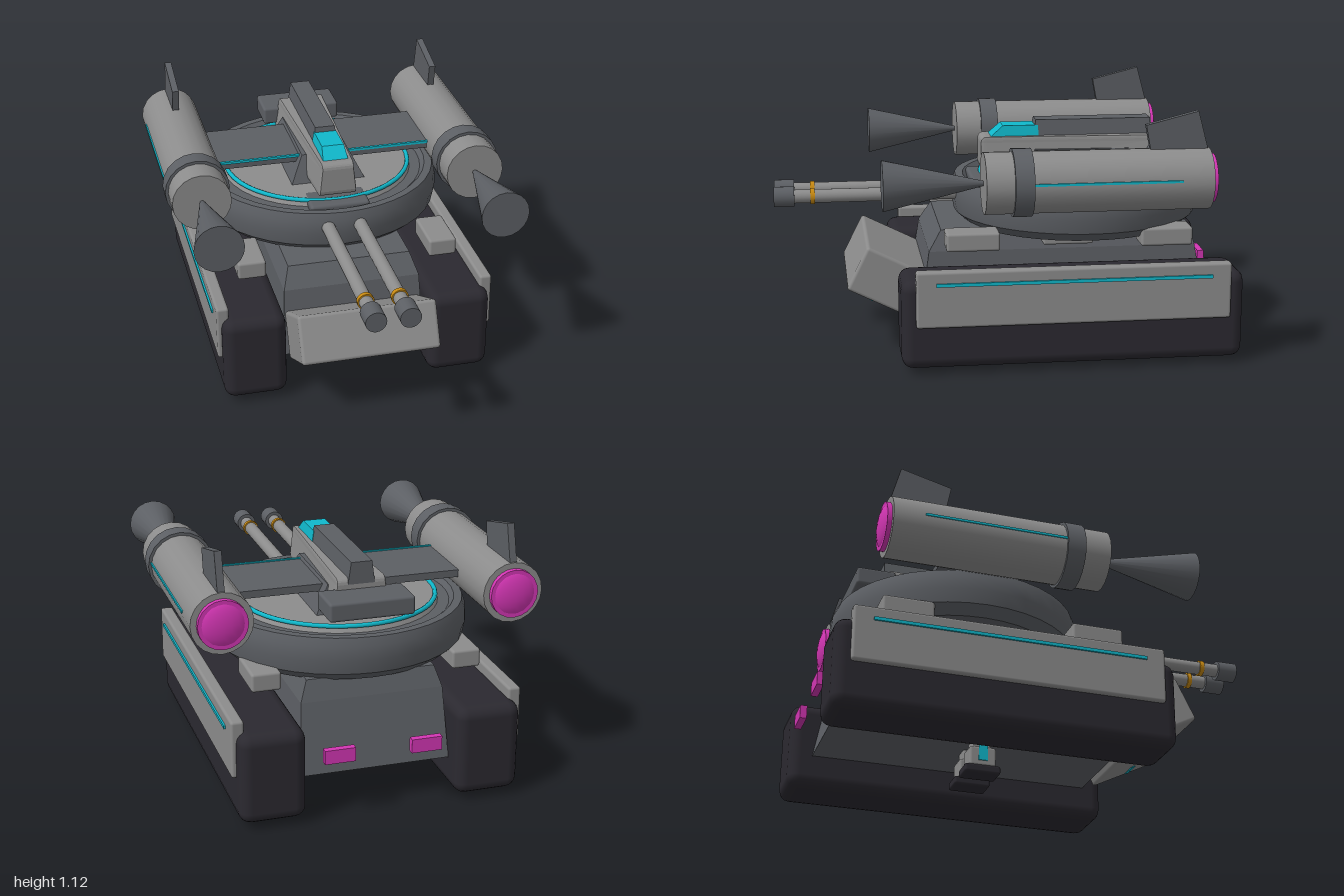
import * as THREE from 'three';
import { toCreasedNormals } from 'three/addons/utils/BufferGeometryUtils.js';
import { RoundedBoxGeometry } from 'three/addons/geometries/RoundedBoxGeometry.js';

const paint = (name, color) => {
  const m = new THREE.MeshStandardMaterial({ color });
  m.name = name;
  return m;
};

export function createModel() {
  const light = paint('light grey', 0x8c8c8c);
  const dark = paint('dark grey', 0x5c5f64);
  const rubber = paint('track black', 0x2b2930);
  const cyan = paint('cyan', 0x10b8cb);
  const magenta = paint('magenta', 0xd436b4);
  const amber = paint('amber', 0xc88a12);

  const root = new THREE.Group();
  root.name = 'hoverTank';

  const add = (name, geo, mat, x = 0, y = 0, z = 0, parent = root) => {
    const m = new THREE.Mesh(geo, mat);
    m.name = name;
    m.position.set(x, y, z);
    parent.add(m);
    return m;
  };
  // Box given by its limits; r rounds the edges
  const box = (name, mat, x0, x1, y0, y1, z0, z1, r = 0, parent = root) => {
    const s = [Math.abs(x1 - x0), y1 - y0, z1 - z0];
    const g = r ? new RoundedBoxGeometry(...s, 2, r) : new THREE.BoxGeometry(...s);
    return add(name, g, mat, (x0 + x1) / 2, (y0 + y1) / 2, (z0 + z1) / 2, parent);
  };
  // Block whose top and bottom are [halfWidth, zBack, zFront] rectangles
  const taper = (name, mat, y0, y1, bottom, top) => {
    const g = new THREE.BoxGeometry(1, 1, 1);
    const p = g.attributes.position;
    for (let i = 0; i < p.count; i++) {
      const [w, zb, zf] = p.getY(i) > 0 ? top : bottom;
      p.setXYZ(i, Math.sign(p.getX(i)) * w, p.getY(i) > 0 ? y1 : y0, p.getZ(i) > 0 ? zf : zb);
    }
    g.computeVertexNormals();
    return add(name, g, mat);
  };
  // Cylinder lying along z from z0 to z1
  const rod = (name, mat, x, y, z0, z1, r0, r1 = r0, sides = 20) => {
    const g = new THREE.CylinderGeometry(r1, r0, z1 - z0, sides).rotateX(Math.PI / 2);
    return add(name, g, mat, x, y, (z0 + z1) / 2);
  };

  // Hull
  taper('hullLower', dark, 0.17, 0.47, [0.32, -0.9, 0.38], [0.305, -0.845, 0.335]);
  taper('hullUpper', dark, 0.47, 0.56, [0.305, -0.845, 0.335], [0.275, -0.82, 0.28]);

  // Tilted bow plate with strips on its underside
  const bow = new THREE.Group();
  bow.name = 'bowPlate';
  bow.position.set(0, 0.338, 0.514);
  bow.rotation.x = -0.464;
  root.add(bow);
  box('bowBlock', light, -0.305, 0.305, -0.106, 0.106, -0.15, 0.15, 0.015, bow);
  for (const s of [-1, 1])
    box('bowStrip', cyan, s * 0.19, s * 0.28, -0.11, -0.104, 0.02, 0.04, 0, bow);

  // Feet and small pad under the hull
  for (const s of [-1, 1]) {
    box('ankle', light, s * 0.04, s * 0.12, 0.11, 0.18, -0.28, -0.2, 0.01);
    box('foot', light, s * 0.03, s * 0.13, 0.035, 0.125, -0.3, -0.18, 0.012);
    box('sole', rubber, s * 0.028, s * 0.132, 0.005, 0.042, -0.32, -0.16, 0.01);
    box('footStripe', cyan, s * 0.129, s * 0.135, 0.06, 0.14, -0.26, -0.22);
  }
  box('bellyPad', light, -0.27, -0.18, 0.145, 0.18, -0.27, -0.2, 0.01);

  // Tracks, skirts, pads and tail lights
  for (const s of [-1, 1]) {
    box('track', rubber, s * 0.32, s * 0.6, 0.03, 0.42, -1, 0.475, 0.05);
    box('skirt', light, s * 0.565, s * 0.62, 0.22, 0.465, -0.935, 0.415, 0.012);
    box('skirtStripe', cyan, s * 0.615, s * 0.628, 0.402, 0.416, -0.85, 0.33);
    box('frontPad', light, s * 0.37, s * 0.495, 0.515, 0.595, 0.045, 0.275, 0.012);
    box('rearPad', light, s * 0.37, s * 0.495, 0.515, 0.595, -0.79, -0.565, 0.012);
    box('middlePad', light, s * 0.28, s * 0.42, 0.515, 0.55, -0.37, -0.15, 0.01);
    box('tailLight', magenta, s * 0.12, s * 0.25, 0.26, 0.32, -1, -0.97);
  }

  // Turret bowl with raised rim, deck and glowing ring
  const bowl = [[0, 0.55], [0.5, 0.55], [0.545, 0.59], [0.557, 0.65], [0.553, 0.71],
    [0.54, 0.745], [0.505, 0.745], [0.485, 0.725], [0, 0.725]];
  const bowlGeo = new THREE.LatheGeometry(bowl.map((p) => new THREE.Vector2(...p)), 40);
  add('turret', toCreasedNormals(bowlGeo, 0.6), dark, 0, 0, -0.35);
  add('turretDeck', new THREE.CylinderGeometry(0.42, 0.45, 0.05, 40), light, 0, 0.727, -0.35);
  add('turretRing', new THREE.TorusGeometry(0.425, 0.01, 8, 48).rotateX(Math.PI / 2), cyan, 0, 0.752, -0.35);
  box('mantlet', dark, -0.135, 0.135, 0.62, 0.755, -0.02, 0.13, 0.015);

  // Twin guns
  for (const s of [-1, 1]) {
    const x = s * 0.072;
    rod('gunBarrel', light, x, 0.68, 0.1, 0.92, 0.03);
    rod('gunBand', amber, x, 0.68, 0.82, 0.84, 0.036);
    rod('gunMuzzle', dark, x, 0.68, 0.91, 1, 0.045);
  }

  // Central spine, ridge and canopy
  taper('pedestal', dark, 0.74, 0.87, [0.175, -0.62, -0.1], [0.11, -0.58, -0.16]);
  box('sternBlock', dark, -0.182, 0.182, 0.8, 0.88, -0.84, -0.665, 0.012);
  const spine = new RoundedBoxGeometry(1, 0.155, 0.77, 2, 0.025);
  const sp = spine.attributes.position;
  for (let i = 0; i < sp.count; i++) {
    const t = sp.getZ(i) / 0.77 + 0.5;
    const lean = sp.getY(i) > 0 ? 0.86 : 1;
    sp.setX(i, sp.getX(i) * (0.25 - 0.08 * t) * lean);
  }
  spine.computeVertexNormals();
  add('spine', spine, light, 0, 0.848, -0.305);
  taper('ridge', dark, 0.9, 0.995, [0.058, -0.69, -0.15], [0.045, -0.69, -0.17]);
  taper('canopy', cyan, 0.915, 0.972, [0.058, -0.18, 0.045], [0.05, -0.18, -0.02]);

  // Wings with glowing leading edge
  for (const s of [-1, 1]) {
    box('wing', dark, s * 0.08, s * 0.51, 0.825, 0.857, -0.53, -0.19);
    box('wingEdge', cyan, s * 0.08, s * 0.5, 0.85, 0.861, -0.197, -0.184);
  }

  // Side pods
  const finShape = new THREE.Shape([[-0.57, 0.94], [-0.815, 0.94], [-0.765, 1.125], [-0.545, 1.07]]
    .map((p) => new THREE.Vector2(...p)).reverse());
  const finGeo = new THREE.ExtrudeGeometry(finShape, { depth: 0.03, bevelEnabled: false })
    .translate(0, 0, -0.015).rotateY(-Math.PI / 2);
  const domeGeo = new THREE.SphereGeometry(0.105, 20, 12).scale(1, 1, 0.38);
  for (const s of [-1, 1]) {
    const x = s * 0.617;
    rod('pod', light, x, 0.84, -0.815, 0.132, 0.13);
    rod('podCollar', dark, x, 0.84, -0.065, 0.015, 0.143);
    rod('podNozzle', dark, x, 0.84, 0.12, 0.55, 0.008, 0.107);
    add('podDome', domeGeo, magenta, x, 0.84, -0.813);
    rod('podDomeRing', magenta, x, 0.84, -0.835, -0.81, 0.104);
    box('podStripe', cyan, s * 0.738, s * 0.75, 0.849, 0.859, -0.68, -0.06);
    add('podFin', finGeo, dark, x);
  }
  return root;
}
